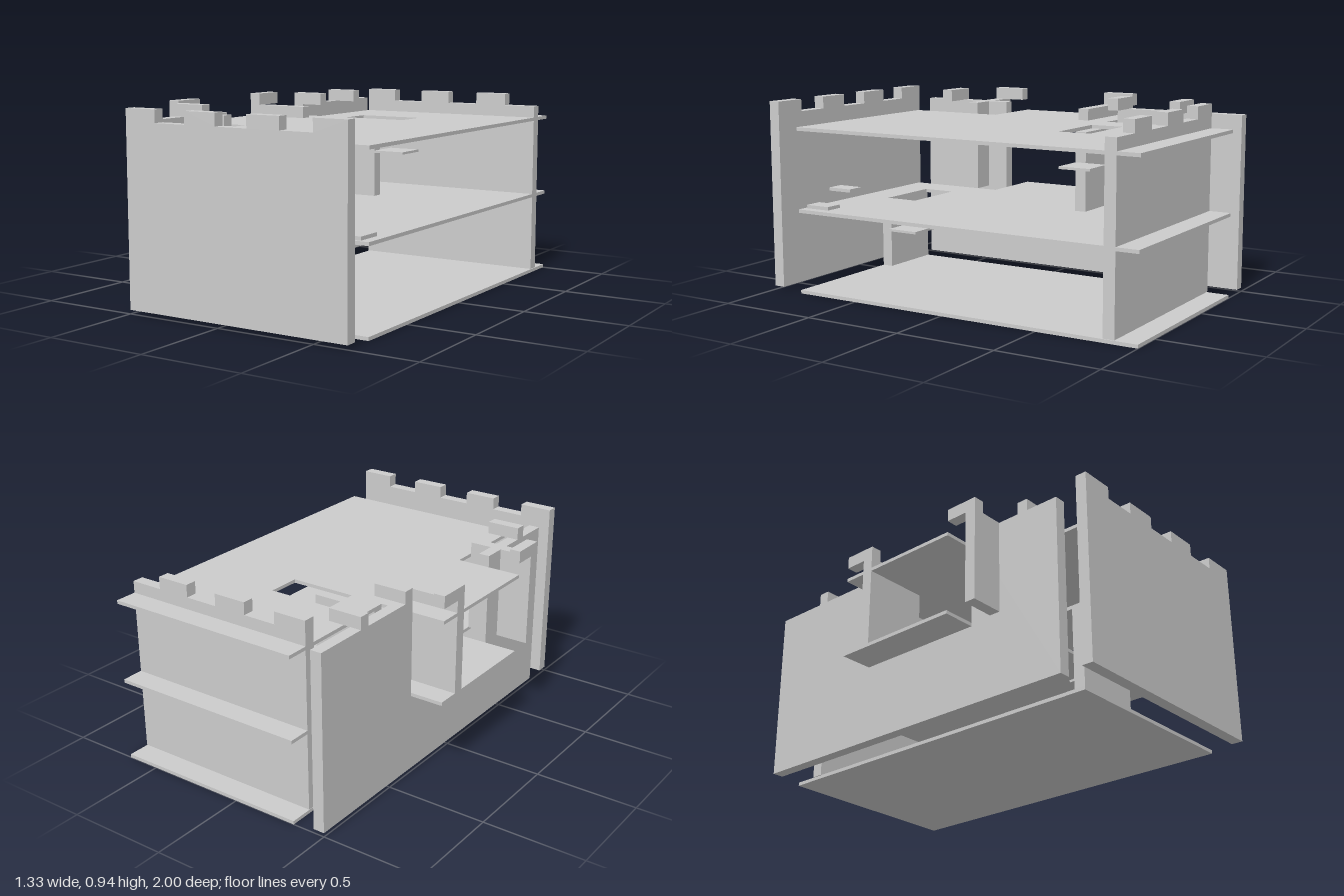
import * as THREE from 'three';

const U = 1 / 6;      // module of the merlons and cut-outs
const T = 0.056;      // wall thickness
const SLAB = 0.017;   // floor thickness
const WALL_TOP = 0.88, MERLON_TOP = 0.94;

const grey = new THREE.MeshStandardMaterial({ color: 0xcccccc });
grey.name = 'plain grey';

function polygon(points) {
  return new THREE.Shape(points.map(([x, y]) => new THREE.Vector2(x, y)));
}

export function createModel() {
  const model = new THREE.Group();

  function add(name, geometry) {
    const mesh = new THREE.Mesh(geometry, grey);
    mesh.name = name;
    model.add(mesh);
    return mesh;
  }

  // Box given by its limits on each axis
  function box(name, x0, x1, y0, y1, z0, z1) {
    const g = new THREE.BoxGeometry(x1 - x0, y1 - y0, z1 - z0);
    return add(name, g.translate((x0 + x1) / 2, (y0 + y1) / 2, (z0 + z1) / 2));
  }

  // Upright wall with alternating merlons and notches, starting with a merlon
  function crenellatedWall(name, x0, steps, z0) {
    const points = [[x0 + steps * U, 0.019], [x0, 0.019]];
    for (let i = 0; i < steps; i++) {
      const y = i % 2 ? WALL_TOP : MERLON_TOP;
      points.push([x0 + i * U, y], [x0 + (i + 1) * U, y]);
    }
    points.reverse();
    const g = new THREE.ExtrudeGeometry(polygon(points), { depth: T, bevelEnabled: false });
    add(name, g.translate(0, 0, z0));
  }

  // Floor slab, optionally with a tower extension and a stair hole starting at holeZ
  function floor(name, y, tower, holeZ) {
    const points = [[4 * U, -5 * U], [4 * U, 1], [-2 * U, 1]];
    if (tower) points.push([-2 * U, 2 * U], [-4 * U, 2 * U], [-4 * U, -2 * U], [-2 * U, -2 * U]);
    points.push([-2 * U, -5 * U]);
    const shape = polygon(points);
    if (holeZ !== undefined) {
      shape.holes.push(polygon([[-U, -holeZ], [U, -holeZ], [U, -holeZ - U], [-U, -holeZ - U]]));
    }
    const g = new THREE.ExtrudeGeometry(shape, { depth: SLAB, bevelEnabled: false });
    add(name, g.rotateX(-Math.PI / 2).translate(0, y, 0));
  }

  floor('groundFloor', 0, false);
  floor('upperFloor', 0.403, true, 3 * U);
  floor('roof', 0.805, true, -3 * U);

  crenellatedWall('frontWall', -3 * U, 7, 1 - T);
  crenellatedWall('backWall', -2 * U, 6, -0.89);

  // Side wall with the deep opening to the tower
  const side = polygon([
    [-1, 0.019], [5 * U, 0.019], [5 * U, WALL_TOP], [2 * U, WALL_TOP],
    [2 * U, 0.403], [-2 * U, 0.403], [-2 * U, WALL_TOP], [-1, WALL_TOP],
  ]);
  const sideGeometry = new THREE.ExtrudeGeometry(side, { depth: T, bevelEnabled: false });
  add('sideWall', sideGeometry.rotateY(-Math.PI / 2).translate(-3 * U + T, 0, 0));

  // Crosswise merlons on the side wall
  for (const z of [0.61, -0.39, -0.725]) {
    box('sideMerlon', -3 * U, -2 * U, WALL_TOP, MERLON_TOP, z, z + T);
  }

  // Tower cheek walls, each with a merlon at its outer end
  for (const [wallZ, merlonZ] of [[3 * U - T, 2 * U], [-U - T, -2 * U]]) {
    box('towerWall', -4 * U, -2 * U, 0.42, WALL_TOP, wallZ, wallZ + T);
    box('towerMerlon', -4 * U, -4 * U + T, WALL_TOP, MERLON_TOP, merlonZ, merlonZ + U);
  }

  // Short inner partitions
  box('lowerPartition', -2 * U, 0, 0.017, 0.403, 5 * U - T, 5 * U);
  box('upperPartition', -2 * U, 0, 0.42, 0.805, -2 * U - T, -2 * U);

  // Landings below the stair holes
  box('lowerLanding', 0, U, 0.245, 0.257, 3 * U, 4 * U);
  box('upperLanding', 0, U, 0.645, 0.657, -3 * U, -2 * U);

  // Small steps on the upper floor
  box('lowStep', 0.53, 0.62, 0.42, 0.437, 0.69, 0.82);
  box('highStep', 0.36, 0.45, 0.484, 0.5, 0.69, 0.82);

  return model;
}
